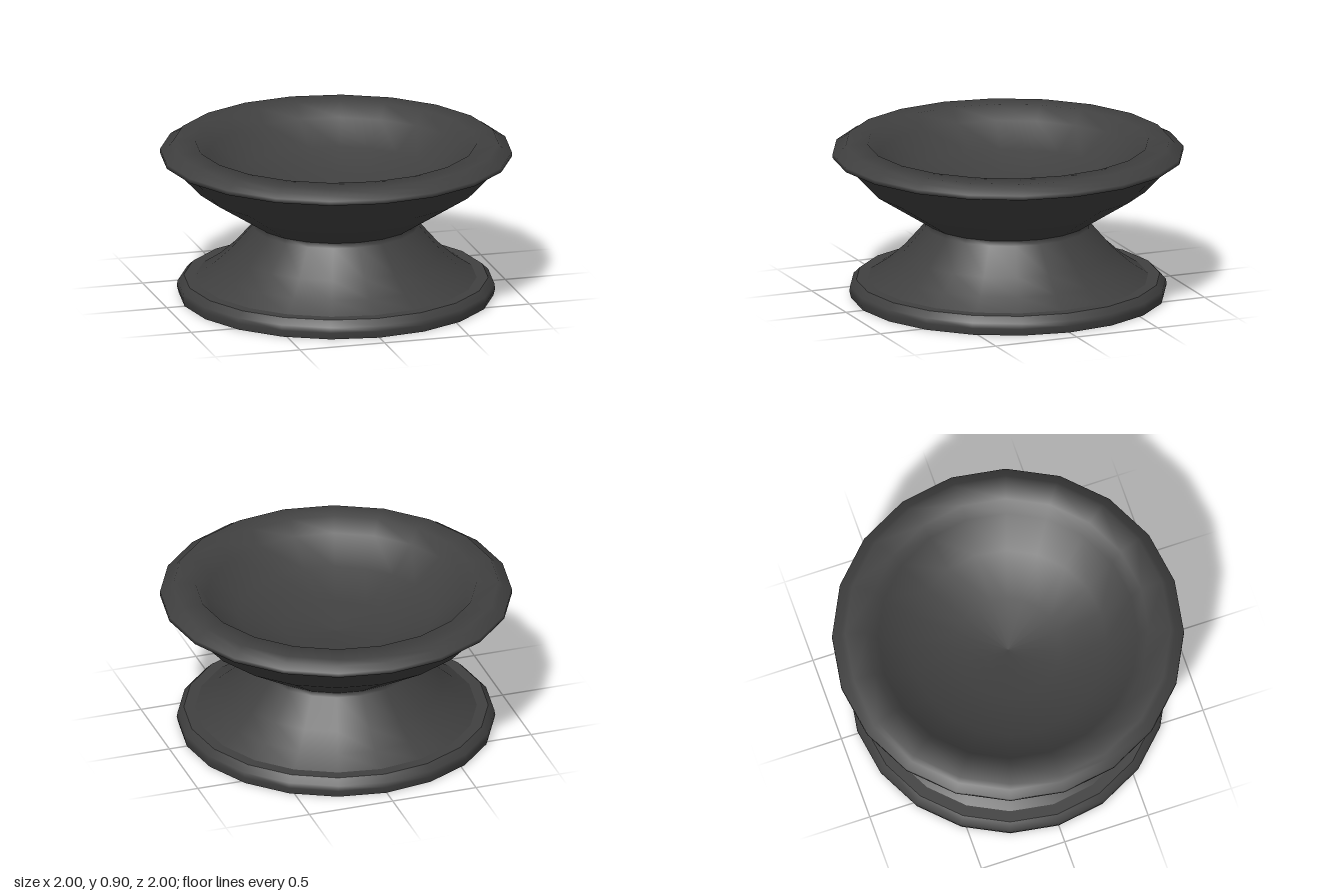
import * as THREE from 'three';

const SIDES = 20;

export function createModel() {
  const group = new THREE.Group();
  const material = new THREE.MeshStandardMaterial({ color: 0x404040 });

  // Turned part from [radius, height] points, running up the outside
  const turned = (name, profile) => {
    const points = profile.map(([r, y]) => new THREE.Vector2(r, y));
    const mesh = new THREE.Mesh(new THREE.LatheGeometry(points, SIDES), material);
    mesh.name = name;
    group.add(mesh);
  };

  // Foot: flat underside, rounded edge, narrow flat ledge
  turned('footUnderside', [[0, 0], [0.895, 0]]);
  turned('footEdge', [[0.895, 0], [0.905, 0.04], [0.9, 0.07], [0.865, 0.105]]);
  turned('footLedge', [[0.865, 0.105], [0.8, 0.105]]);

  // Flared stem up to the short waist
  turned('stem', [[0.8, 0.105], [0.7, 0.17], [0.6, 0.26], [0.47, 0.41], [0.47, 0.44]]);

  // Outside of the bowl
  turned('bowlOutside', [[0.47, 0.44], [0.8, 0.65], [0.95, 0.81]]);

  // Rolled rim running smoothly into the dished inside
  turned('rimAndDish', [
    [0.95, 0.81], [1, 0.825], [1, 0.85], [0.95, 0.87], [0.925, 0.9],
    [0.8, 0.9], [0.74, 0.82], [0.56, 0.7], [0.3, 0.62], [0, 0.59],
  ]);

  return group;
}
